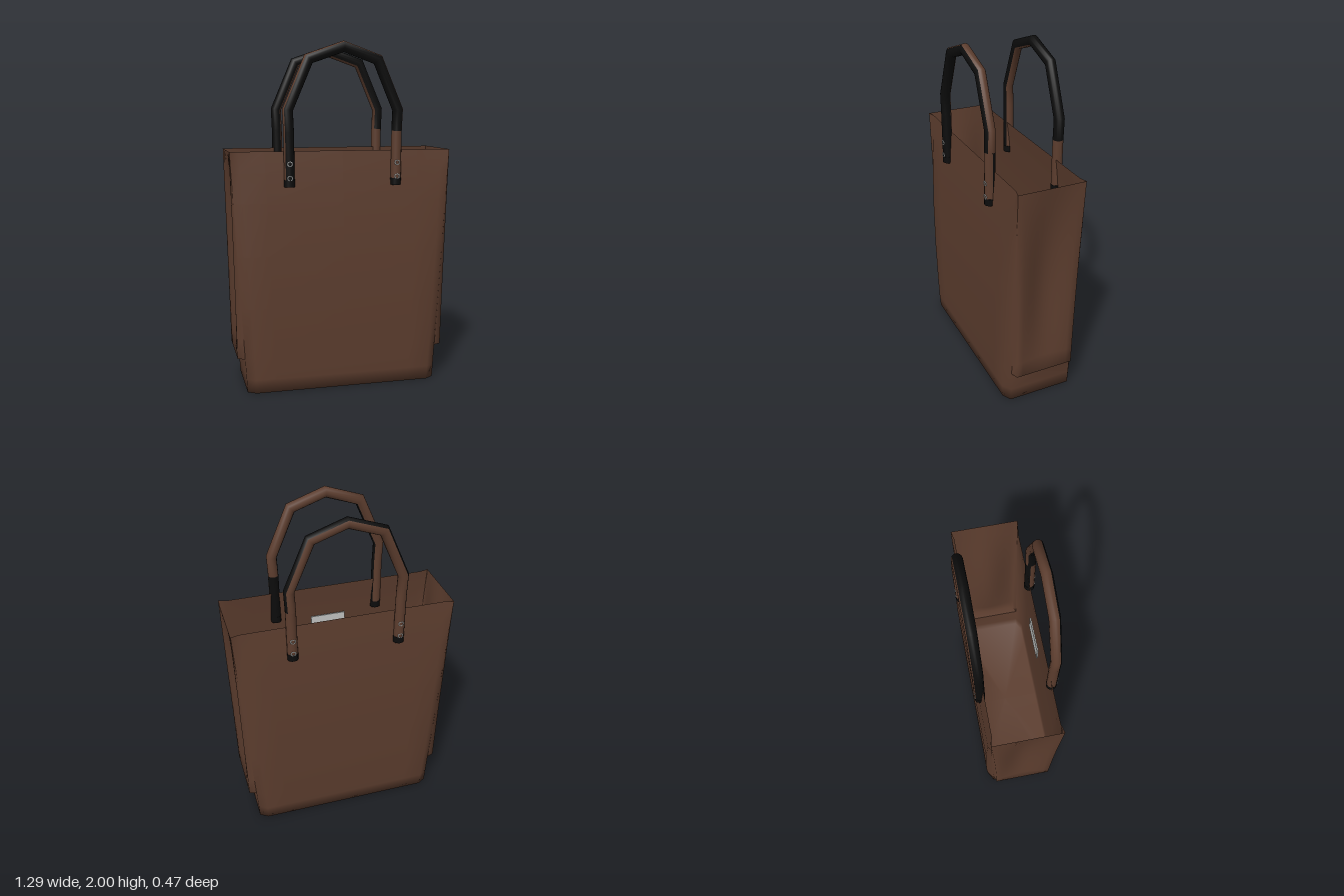
import * as THREE from 'three';

const leather = new THREE.MeshStandardMaterial({ color: 0x5c3d2e, side: THREE.DoubleSide });
leather.name = 'brown leather';
const lining = new THREE.MeshStandardMaterial({ color: 0x0c0c0c, side: THREE.DoubleSide });
lining.name = 'black edging';
const metal = new THREE.MeshStandardMaterial({ color: 0xc4c6c4 });
metal.name = 'silver metal';

function mesh(name, geometry, material, parent) {
  const m = new THREE.Mesh(geometry, material);
  m.name = name;
  parent.add(m);
  return m;
}

// Joins rows of points into a smooth surface; rows run along the outward winding
function loft(rows, { closed = false, skip = () => false, floor = null } = {}) {
  const n = rows[0].length, pos = rows.flat(2), index = [];
  for (let r = 0; r < rows.length - 1; r++) {
    for (let c = 0; c < (closed ? n : n - 1); c++) {
      if (skip(r, c)) continue;
      const d = (c + 1) % n, a = r * n;
      index.push(a + c, a + d, a + n + d, a + c, a + n + d, a + n + c);
    }
  }
  if (floor) {
    pos.push(...floor);
    for (let c = 0; c < n; c++) index.push(rows.length * n, (c + 1) % n, c);
  }
  const g = new THREE.BufferGeometry();
  g.setAttribute('position', new THREE.Float32BufferAttribute(pos, 3));
  g.setIndex(index);
  g.computeVertexNormals();
  return g;
}

const TOP = 1.39, GUSSET = 0.2;
const halfWidth = y => 0.565 + 0.08 * y / TOP;

// Front, back, bottom and the closed lower ends
function bodyGeometry() {
  const profile = [[0, 0.22], [0.08, 0.225], [GUSSET, 0.228], [0.5, 0.23],
    [0.8, 0.225], [1.1, 0.21], [1.27, 0.197], [TOP, 0.185]];
  const rows = profile.map(([y, d]) => {
    const w = halfWidth(y), corner = 0.19 + 0.008 * y / TOP;
    const front = [[-w, corner], [-w + 0.05, d], [-w * 0.7, d], [0, d],
      [w * 0.7, d], [w - 0.05, d], [w, corner]];
    return [...front, ...front.map(([x, z]) => [-x, -z])].map(([x, z]) => [x, y, z]);
  });
  return loft(rows, {
    closed: true,
    skip: (r, c) => r >= 2 && c % 7 === 6,
    floor: [0, 0, 0],
  });
}

// Side gusset, standing proud at the foot and folded inward in the middle
function gussetGeometry() {
  const rows = [];
  for (let i = 0; i <= 12; i++) {
    const t = i / 12, y = GUSSET + (TOP - GUSSET) * t;
    const x = 0.618 + 0.027 * t, edge = 0.176 + 0.022 * t * t;
    const row = [[halfWidth(y), y, 0.192 + 0.006 * t]];
    for (let j = 0; j <= 10; j++) {
      const s = j / 5 - 1;
      const fold = 0.05 * Math.sin(Math.PI * t) * (0.5 + 0.5 * Math.cos(Math.PI * s));
      row.push([x - fold, y, -s * edge]);
    }
    row.push([halfWidth(y), y, -0.192 - 0.006 * t]);
    rows.push(row);
  }
  // small ledge closing the foot of the gusset
  rows.unshift(rows[0].map(([, y, z]) => [halfWidth(y), y, z]));
  return loft(rows);
}

// Angular handle path, left leg low to right leg low
const R = 0.03;
const path = [[-0.312, 1.2], [-0.315, 1.5], [-0.32, 1.62], [-0.2, 1.9], [0, 1.97],
  [0.2, 1.9], [0.32, 1.62], [0.315, 1.5], [0.312, 1.2]].map(p => new THREE.Vector2(...p));

// Mitred strip of the handle tube; angle 0 points outward, 90 degrees points to +z
function handleStrip(from, to, a0, a1) {
  const rows = [];
  for (let i = from; i <= to; i++) {
    const before = path[i].clone().sub(path[Math.max(i - 1, 0)]).normalize();
    const after = path[Math.min(i + 1, path.length - 1)].clone().sub(path[i]).normalize();
    const t = before.clone().add(after).normalize();
    const miter = 1 / Math.max(t.dot(after), t.dot(before));
    const row = [];
    for (let k = 0; k <= 8; k++) {
      const a = THREE.MathUtils.degToRad(a0 + (a1 - a0) * k / 8);
      const out = R * Math.cos(a) * miter;
      row.push([path[i].x - t.y * out, path[i].y + t.x * out, R * Math.sin(a)]);
    }
    rows.push(row.reverse());
  }
  return loft(rows);
}

function handle(name, z, blackFrom, blackTo) {
  const g = new THREE.Group();
  g.name = name;
  g.position.z = z;
  mesh('handleBlackFace', handleStrip(0, 7, blackFrom, blackTo), lining, g);
  mesh('handleLeatherFace', handleStrip(0, 7, blackTo, blackFrom + 360), leather, g);
  mesh('handleLowerLeg', handleStrip(7, 8, -10, 190), leather, g);
  mesh('handleLowerLegInside', handleStrip(7, 8, 190, 350), z > 0 ? lining : leather, g);
  const face = Math.sign(z);
  for (const side of [-1, 1]) {
    mesh('handleEnd', new THREE.CylinderGeometry(R + 0.001, R + 0.001, 0.04, 14), lining, g)
      .position.set(side * 0.312, 1.21, 0);
    for (const y of [1.24, 1.32]) {
      mesh('rivet', new THREE.TorusGeometry(0.013, 0.004, 6, 12), metal, g)
        .position.set(side * 0.313, y, face * 0.027);
    }
  }
  return g;
}

export function createModel() {
  const bag = new THREE.Group();
  bag.name = 'toteBag';
  mesh('body', bodyGeometry(), leather, bag);
  mesh('leftGusset', gussetGeometry(), leather, bag);
  mesh('rightGusset', gussetGeometry(), leather, bag).rotation.y = Math.PI;
  bag.add(handle('frontHandle', 0.205, 40, 220));
  bag.add(handle('backHandle', -0.205, -50, 130));
  // small plate inside the front panel
  mesh('innerPlate', new THREE.BoxGeometry(0.21, 0.12, 0.008), metal, bag)
    .position.set(0, 1.14, 0.17);
  return bag;
}
